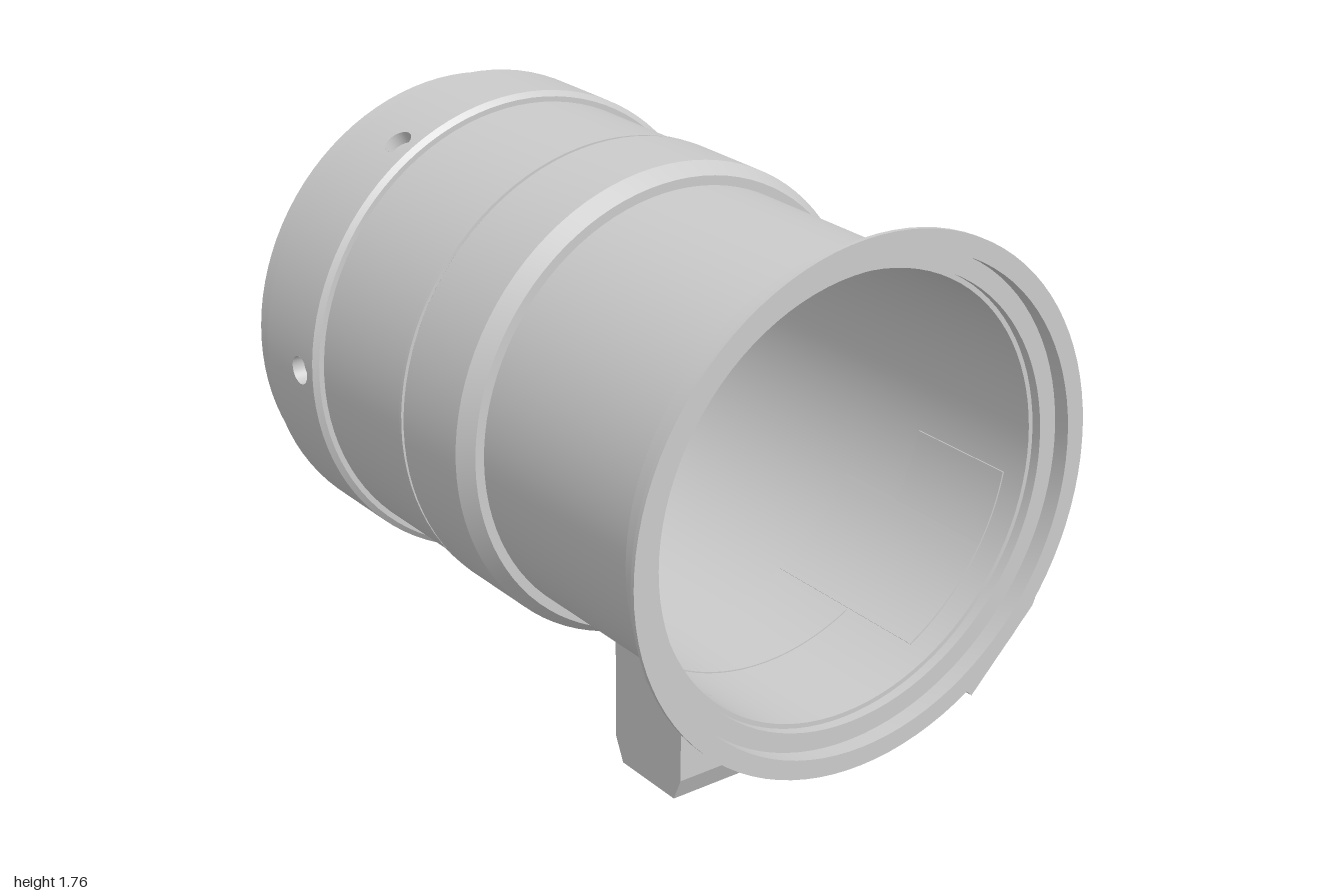
import * as THREE from 'three';
import { toCreasedNormals } from 'three/addons/utils/BufferGeometryUtils.js';
import { ParametricGeometry } from 'three/addons/geometries/ParametricGeometry.js';

export function createModel() {
  const grey = new THREE.MeshStandardMaterial({ color: 0xcbcbcb, side: THREE.DoubleSide });
  grey.name = 'satin grey';
  const black = new THREE.MeshStandardMaterial({ color: 0x000000 });
  black.name = 'black';

  const model = new THREE.Group();
  model.name = 'tubeAssembly';
  // Everything hangs on the tube axis, which runs along x.
  const axis = new THREE.Group();
  axis.name = 'axis';
  axis.position.set(0, 0.995, 0.006);
  model.add(axis);

  const add = (parent, name, geo, mat = grey) => {
    const m = new THREE.Mesh(geo, mat);
    m.name = name;
    parent.add(m);
    return m;
  };
  // Profile of [x, radius] points turned round the x axis.
  const turned = (pts) => toCreasedNormals(
    new THREE.LatheGeometry(pts.map(([x, r]) => new THREE.Vector2(r, x)), 96).rotateZ(-Math.PI / 2), 0.3);
  // Group whose local z points outwards from the axis, at an angle from +z towards +y.
  const radial = (name, deg, x = 0) => {
    const g = new THREE.Group();
    g.name = name;
    g.rotation.x = -deg * Math.PI / 180;
    g.position.x = x;
    axis.add(g);
    return g;
  };
  // Section of [outward, sideways] points swept along x.
  const prism = (pts, x0, x1) => new THREE.ExtrudeGeometry(
    new THREE.Shape(pts.map(([r, t]) => new THREE.Vector2(-r, t))),
    { depth: x1 - x0, bevelEnabled: false }).rotateY(Math.PI / 2).translate(x0, 0, 0);
  // Points along an arc about the axis, for sections that sit on the tube.
  const arc = (r, a0, a1, n = 12) => Array.from({ length: n + 1 }, (_, i) => {
    const a = a0 + (a1 - a0) * i / n;
    return [r * Math.cos(a), r * Math.sin(a)];
  });

  // Barrel: outer steps, rear flange, counterbore, bore and front thread in one closed profile
  const profile = [
    [-1, 0.665], [-1, 0.702], [-0.91, 0.702], [-0.91, 0.69], [-0.64, 0.69], [-0.64, 0.698],
    [-0.197, 0.698], [-0.197, 0.709], [-0.186, 0.709], [-0.186, 0.692], [-0.177, 0.692], [-0.177, 0.706],
    [-0.17, 0.711], [0.098, 0.711], [0.149, 0.68], [0.149, 0.652], [0.89, 0.652], [0.89, 0.714],
    [0.987, 0.714], [0.987, 0.769], [1, 0.769], [1, 0.712], [0.95, 0.712], [0.95, 0.655], [0.92, 0.655], [0.92, 0.641],
    [-0.605, 0.641], [-0.605, 0.623], [-0.63, 0.623], [-0.63, 0.645], [-0.82, 0.645],
  ];
  for (let i = 0; i < 5; i++) {
    const x = -0.83 - i * 0.03;
    profile.push([x, 0.645], [x - 0.008, 0.662], [x - 0.016, 0.662], [x - 0.024, 0.645]);
  }
  profile.push([-1, 0.665]);
  add(axis, 'barrel', turned(profile));

  // Partition inside the barrel: black plug with a grey rear face
  add(axis, 'partitionRear', new THREE.CircleGeometry(0.619, 96).rotateY(Math.PI / 2).translate(-0.601, 0, 0));
  add(axis, 'partitionFront', new THREE.CylinderGeometry(0.6225, 0.6225, 0.024, 96)
    .rotateZ(-Math.PI / 2).translate(-0.617, 0, 0), black);
  for (const s of [-1, 1]) {
    add(axis, 'retainerKey', new THREE.BoxGeometry(0.03, 0.02, 0.08)).position.set(-0.84, s * 0.637, 0);
  }

  // Front collar: six sectors, each with a drilled hole, between bevelled edges
  const R = 0.73, x0 = -0.9, x1 = -0.652, hole = 0.043, xc = -0.72;
  const corners = [[1, -1], [1, 1], [-1, 1], [-1, -1]];
  const sector = (u, v, target) => {
    const q = (1 - u) * 4, side = Math.min(3, Math.floor(q)), t = q - side;
    const a = corners[side], b = corners[(side + 1) % 4];
    const ex = a[0] + (b[0] - a[0]) * t, es = a[1] + (b[1] - a[1]) * t;
    const ang = (side - 0.5 + t) * Math.PI / 2;
    const rim = ex > 0 ? THREE.MathUtils.lerp(xc, x1, ex) : THREE.MathUtils.lerp(xc, x0, -ex);
    const px = THREE.MathUtils.lerp(xc + hole * Math.cos(ang), rim, v);
    const th = THREE.MathUtils.lerp(hole / R * Math.sin(ang), es * Math.PI / 6, v);
    target.set(px, R * Math.sin(th), R * Math.cos(th));
  };
  for (let i = 0; i < 6; i++) {
    const g = radial('collarSector', i * 60);
    const geo = new ParametricGeometry(sector, 64, 10);
    const p = geo.attributes.position, n = geo.attributes.normal;
    for (let k = 0; k < p.count; k++) n.setXYZ(k, 0, p.getY(k) / R, p.getZ(k) / R);
    add(g, 'collarFace', geo);
    add(g, 'holeWall', new THREE.CylinderGeometry(hole, hole, 0.042, 32, 1, true)
      .rotateX(Math.PI / 2).translate(xc, 0, 0.708));
  }
  add(axis, 'collarFrontEdge', turned([[-0.914, 0.69], [-0.914, 0.726], [-0.91, R], [x0, R]]));
  add(axis, 'collarRearEdge', turned([[x1, R], [-0.645, R], [-0.632, 0.714], [-0.632, 0.69]]));

  // Small set screw on the middle ring
  const setScrew = radial('setScrew', 180 - 37.5, 0.043);
  add(setScrew, 'setScrewRim', new THREE.TorusGeometry(0.031, 0.003, 8, 32)).position.z = 0.71;

  // Mounting foot: bevelled block whose top follows the tube
  const footShape = new THREE.Shape([[0.298, -0.995], [0.543, -0.995], [0.574, -0.923], [0.574, -0.5], [0.264, -0.5], [0.264, -0.923]]
    .map(([x, y]) => new THREE.Vector2(x, y)));
  const foot = new THREE.ExtrudeGeometry(footShape, { depth: 0.595, steps: 20, bevelEnabled: false }).translate(0, 0, -0.2975);
  const fp = foot.attributes.position;
  for (let i = 0; i < fp.count; i++) {
    if (fp.getY(i) > -0.6) fp.setY(i, -Math.sqrt(0.637 ** 2 - fp.getZ(i) ** 2));
  }
  add(axis, 'foot', toCreasedNormals(foot, 0.3));

  // Shallow domed knob low on the front side
  const knob = radial('knob', -55, 0.675);
  const knobProfile = [[0.104, 0.64], [0.104, 0.672], [0.095, 0.686], [0.07, 0.702], [0.035, 0.711], [0, 0.714]];
  add(knob, 'knobBody', toCreasedNormals(new THREE.LatheGeometry(
    knobProfile.map(([r, h]) => new THREE.Vector2(r, h)), 40).rotateX(Math.PI / 2), 0.6));

  // Bracket block on the lower back, its inner face showing just inside the bore
  const block = radial('bracket', 225);
  const section = [[0.963, 0.182], [0.963, -0.135], [0.955, -0.155], [0.936, -0.165],
    ...arc(0.636, -0.262, 0.29)];
  add(block, 'bracketBlock', toCreasedNormals(prism(section, 0.264, 0.843), 0.4));
  // Inner pad behind the tab
  const pad = [...arc(0.636, -0.6, -0.25), ...arc(0.665, -0.25, -0.6)];
  add(block, 'bracketPad', toCreasedNormals(prism(pad, 0.488, 0.843), 0.4));
  // Concave fillet running from the block up into the tab
  const curve = new THREE.QuadraticBezierCurve(
    new THREE.Vector2(0.83, -0.164), new THREE.Vector2(0.729, -0.164), new THREE.Vector2(0.685, -0.2555));
  const fillet = [[0.638, -0.13], [0.83, -0.13], ...curve.getPoints(10).map((p) => [p.x, p.y]), [0.59, -0.27], [0.62, -0.2]];
  add(block, 'bracketFillet', toCreasedNormals(prism(fillet, 0.488, 0.843), 0.4));

  // Bracket tab: flat plate with rounded upper corners and a slotted screw
  const tab = radial('bracketTab', 200, 0.6655);
  const w = 0.1775, top = -0.17, c = 0.05;
  const tabShape = new THREE.Shape();
  tabShape.moveTo(-w, 0.21);
  tabShape.lineTo(w, 0.21);
  tabShape.lineTo(w, top + c);
  tabShape.quadraticCurveTo(w, top, w - c, top);
  tabShape.lineTo(-w + c, top);
  tabShape.quadraticCurveTo(-w, top, -w, top + c);
  add(tab, 'tabPlate', toCreasedNormals(new THREE.ExtrudeGeometry(tabShape,
    { depth: 0.09, bevelEnabled: false, curveSegments: 10 }).translate(0, 0, 0.64), 0.4));
  const screw = new THREE.Group();
  screw.name = 'tabScrew';
  screw.position.set(0, -0.02, 0.73);
  screw.rotation.z = 0.5;
  tab.add(screw);
  for (const s of [-1, 1]) {
    const half = new THREE.Shape();
    half.absarc(0, 0, 0.057, -1.4, 1.4);
    const geo = new THREE.ExtrudeGeometry(half, { depth: 0.008, bevelEnabled: false, curveSegments: 20 });
    add(screw, 'screwHalf', geo.translate(-0.002, 0, 0).rotateZ(s > 0 ? 0 : Math.PI));
  }
  return model;
}
